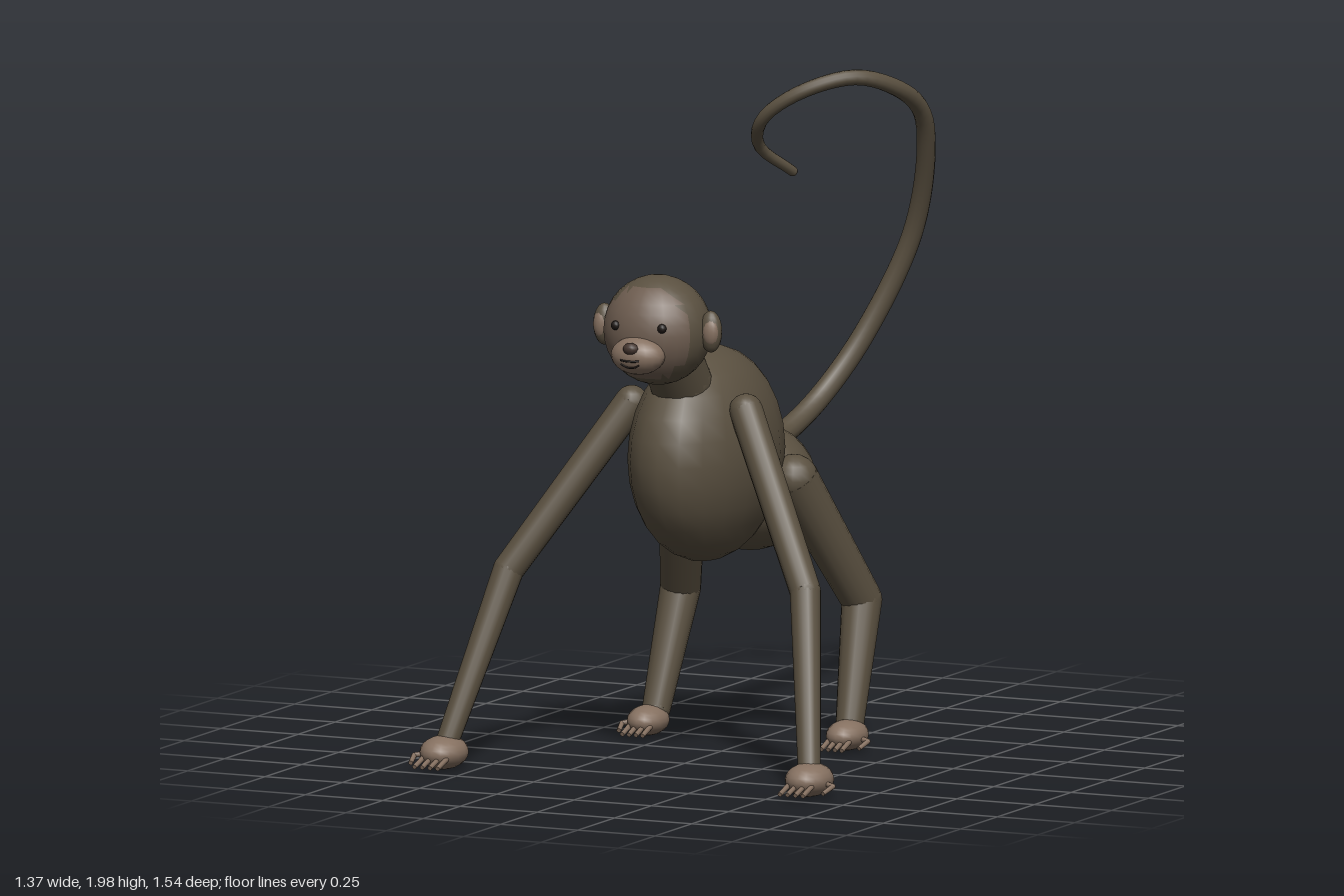
import * as THREE from 'three';

const mat = (name, color) => {
  const m = new THREE.MeshStandardMaterial({ color });
  m.name = name;
  return m;
};
const V = (x, y, z) => new THREE.Vector3(x, y, z);

export function createModel() {
  const fur = mat('fur', 0x5a5040);
  const face = mat('face', 0x6e5d50);
  const skin = mat('skin', 0x857060);
  const dark = mat('dark', 0x1c1613);
  const nose = mat('nose', 0x43342d);

  const model = new THREE.Group();
  model.name = 'monkey';

  const add = (parent, name, geo, material) => {
    const m = new THREE.Mesh(geo, material);
    m.name = name;
    parent.add(m);
    return m;
  };
  const group = (name) => {
    const g = new THREE.Group();
    g.name = name;
    model.add(g);
    return g;
  };
  const ball = (parent, name, material, p, r, w = 20, h = 14) => {
    const m = add(parent, name, new THREE.SphereGeometry(1, w, h), material);
    m.position.copy(p);
    m.scale.set(...r);
    return m;
  };
  // Tapered rod from a to b
  const rod = (parent, name, material, a, b, ra, rb, sides = 16) => {
    const d = b.clone().sub(a);
    const m = add(parent, name, new THREE.CylinderGeometry(rb, ra, d.length(), sides), material);
    m.position.copy(a).addScaledVector(d, 0.5);
    m.quaternion.setFromUnitVectors(V(0, 1, 0), d.normalize());
    return m;
  };

  // Trunk
  ball(model, 'body', fur, V(0, 0.908, 0.103), [0.2, 0.318, 0.335]);
  ball(model, 'hips', fur, V(0, 0.77, -0.19), [0.205, 0.19, 0.19]);
  rod(model, 'neck', fur, V(0, 1.14, 0.275), V(0, 1.26, 0.365), 0.092, 0.09);
  ball(model, 'neckBase', fur, V(0, 1.14, 0.275), [0.092, 0.092, 0.092]);

  // Head: front triangles take the face colour
  const head = group('head');
  const skull = new THREE.SphereGeometry(1, 24, 16);
  const pos = skull.attributes.position;
  const idx = skull.index.array;
  const parts = [[], []];
  for (let i = 0; i < idx.length; i += 3) {
    const tri = [idx[i], idx[i + 1], idx[i + 2]];
    const z = tri.reduce((s, k) => s + pos.getZ(k), 0) / 3;
    parts[z > 0.5 ? 1 : 0].push(...tri);
  }
  skull.setIndex([...parts[0], ...parts[1]]);
  skull.clearGroups();
  skull.addGroup(0, parts[0].length, 0);
  skull.addGroup(parts[0].length, parts[1].length, 1);
  const skullMesh = add(head, 'skull', skull, [fur, face]);
  skullMesh.position.set(0, 1.32, 0.433);
  skullMesh.scale.set(0.162, 0.162, 0.148);

  // Muzzle, nose and mouth
  ball(head, 'muzzle', skin, V(0, 1.262, 0.567), [0.083, 0.056, 0.06]);
  ball(head, 'nose', nose, V(0, 1.288, 0.617), [0.024, 0.018, 0.018], 12, 8);
  const lip = (y, sag, w) => {
    const pts = [-1, -0.5, 0, 0.5, 1].map((t) => {
      const x = t * w, yy = y + sag * t * t;
      const q = 1 - (x / 0.083) ** 2 - ((yy - 1.262) / 0.056) ** 2;
      return V(x, yy, 0.567 + 0.06 * Math.sqrt(Math.max(q, 0)));
    });
    add(head, 'mouth', new THREE.TubeGeometry(new THREE.CatmullRomCurve3(pts), 12, 0.003, 6), dark);
  };
  lip(1.252, 0.002, 0.03);
  lip(1.232, 0.01, 0.03);

  // Eyes and ears
  for (const s of [1, -1]) {
    ball(head, 'eye', dark, V(s * 0.075, 1.345, 0.562), [0.014, 0.014, 0.012], 12, 8);
    ball(head, 'ear', fur, V(s * 0.172, 1.325, 0.433), [0.034, 0.062, 0.029], 16, 12);
    ball(head, 'innerEar', skin, V(s * 0.176, 1.325, 0.441), [0.027, 0.045, 0.024], 14, 10);
  }

  // Limb of two tapered segments with round joints
  const limb = (name, points, radii) => {
    const g = group(name);
    points.forEach((p, i) => {
      const r = radii[i];
      ball(g, 'joint', fur, p, [r, r, r], 16, 10);
      if (i) rod(g, 'segment', fur, points[i - 1], p, radii[i - 1], r);
    });
  };
  // Palm with four digits and a bent outer thumb
  const paw = (name, digit, s, p, r, k) => {
    const g = group(name);
    g.position.copy(p);
    ball(g, 'palm', skin, V(0, 0, 0), r, 16, 12);
    for (const x of [-0.038, -0.013, 0.013, 0.038]) {
      rod(g, digit, skin, V(x * k, -0.008, 0.055 * k), V(x * k, -0.03, 0.126 * k), 0.008, 0.007, 8);
    }
    const thumb = [V(0.05, -0.005, 0.01), V(0.088, -0.012, 0.022), V(0.077, -0.028, 0.07)]
      .map((v) => V(v.x * s * k, v.y, v.z * k));
    rod(g, 'thumbBase', skin, thumb[0], thumb[1], 0.008, 0.008, 8);
    rod(g, 'thumbTip', skin, thumb[1], thumb[2], 0.008, 0.007, 8);
    ball(g, 'thumbJoint', skin, thumb[1], [0.008, 0.008, 0.008], 8, 6);
  };

  for (const s of [1, -1]) {
    const side = s > 0 ? 'left' : 'right';
    limb(side + 'Arm',
      [V(s * 0.185, 1.062, 0.222), V(s * 0.48, 0.578, 0.438), V(s * 0.585, 0.09, 0.632)],
      [0.05, 0.046, 0.034]);
    paw(side + 'Hand', 'finger', s, V(s * 0.591, 0.06, 0.643), [0.069, 0.05, 0.087], 0.98);
    limb(side + 'Leg',
      [V(s * 0.18, 0.812, -0.115), V(s * 0.293, 0.43, -0.338), V(s * 0.313, 0.085, -0.215)],
      [0.072, 0.06, 0.042]);
    paw(side + 'Foot', 'toe', s, V(s * 0.322, 0.055, -0.178), [0.059, 0.045, 0.081], 0.86);
  }

  // Curled tail, tapering toward the tip
  const curve = new THREE.CatmullRomCurve3([
    V(0, 0.88, -0.3), V(0.015, 0.9, -0.41), V(0.055, 0.985, -0.56), V(0.14, 1.16, -0.68),
    V(0.265, 1.45, -0.737), V(0.345, 1.72, -0.665), V(0.362, 1.85, -0.59), V(0.335, 1.93, -0.47),
    V(0.255, 1.968, -0.36), V(0.12, 1.925, -0.272), V(0.01, 1.845, -0.262),
    V(-0.038, 1.75, -0.335), V(0.012, 1.66, -0.458),
  ]);
  const steps = 72, sides = 12;
  const tube = new THREE.TubeGeometry(curve, steps, 0.035, sides);
  const tp = tube.attributes.position;
  for (let i = 0; i <= steps; i++) {
    const c = curve.getPointAt(i / steps);
    const k = 1 - 0.57 * (i / steps) ** 1.6;
    for (let j = 0; j <= sides; j++) {
      const n = i * (sides + 1) + j;
      const v = V().fromBufferAttribute(tp, n).sub(c).multiplyScalar(k).add(c);
      tp.setXYZ(n, v.x, v.y, v.z);
    }
  }
  add(model, 'tail', tube, fur);
  ball(model, 'tailTip', fur, curve.getPoint(1), [0.015, 0.015, 0.015], 12, 8);

  return model;
}
